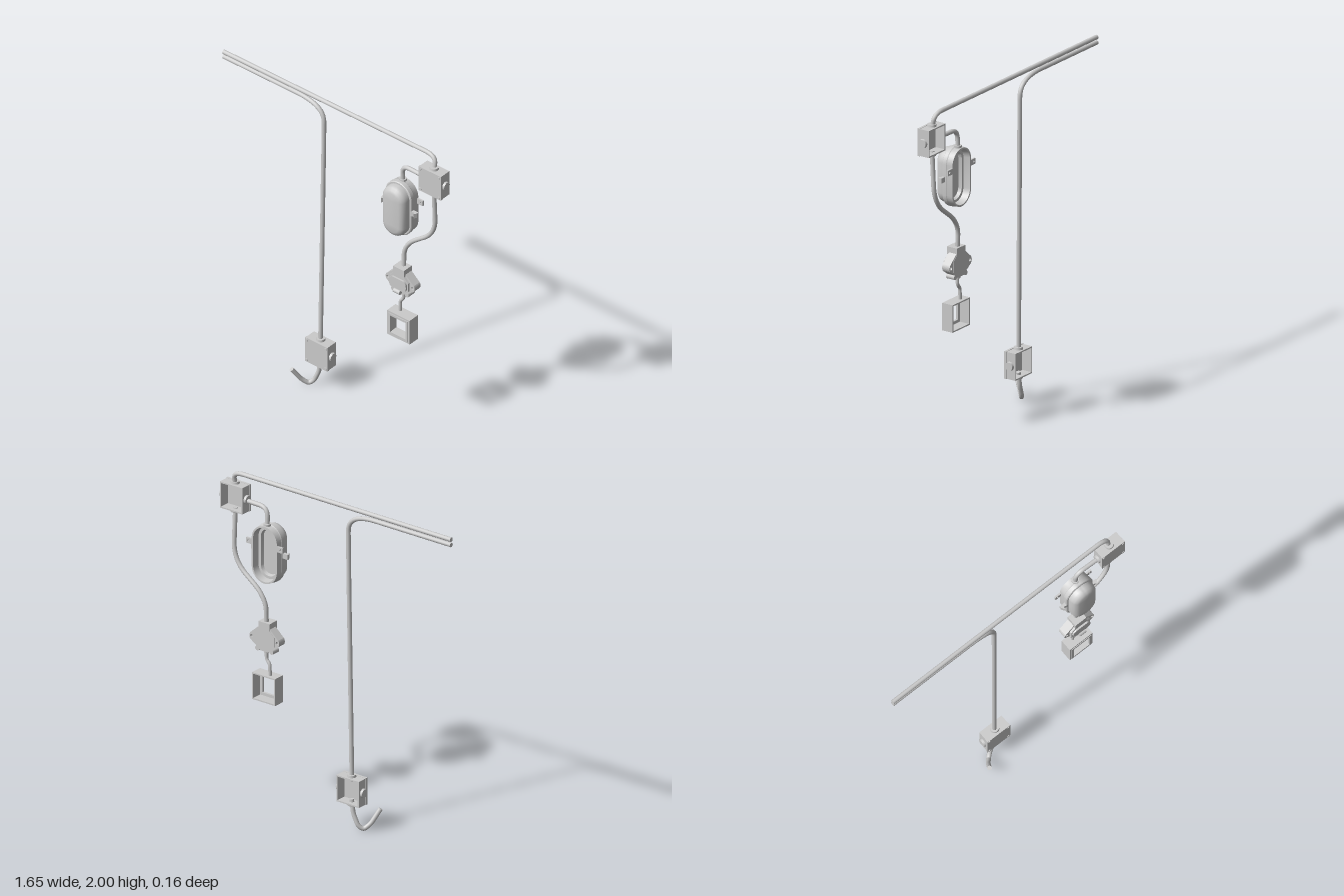
import * as THREE from 'three';
import { toCreasedNormals } from 'three/addons/utils/BufferGeometryUtils.js';

const V = (p) => new THREE.Vector3(...p);
const grey = new THREE.MeshStandardMaterial({ color: 0xcccccc, side: THREE.DoubleSide });

function add(parent, name, geometry, x = 0, y = 0, z = 0) {
  const mesh = new THREE.Mesh(geometry, grey);
  mesh.name = name;
  mesh.position.set(x, y, z);
  parent.add(mesh);
  return mesh;
}

function group(parent, name, x, y) {
  const g = new THREE.Group();
  g.name = name;
  g.position.set(x, y, 0);
  parent.add(g);
  return g;
}

// Round pipe along straight runs, with corners eased by the bend length
function pipe(parent, name, points, bend, radius = 0.0135) {
  const p = points.map(V);
  const path = new THREE.CurvePath();
  let from = p[0];
  for (let i = 1; i < p.length - 1; i++) {
    const toward = (q) => {
      const d = q.clone().sub(p[i]);
      return p[i].clone().addScaledVector(d.normalize(), Math.min(bend, p[i].distanceTo(q) * 0.48));
    };
    const a = toward(p[i - 1]), b = toward(p[i + 1]);
    path.add(new THREE.LineCurve3(from, a));
    path.add(new THREE.QuadraticBezierCurve3(a, p[i], b));
    from = b;
  }
  const last = p[p.length - 1];
  path.add(new THREE.LineCurve3(from, last));
  add(parent, name, new THREE.TubeGeometry(path, 90, radius, 12));
  [[p[0], p[1]], [last, p[p.length - 2]]].forEach(([end, inner]) => {
    const cap = add(parent, name + 'End', new THREE.CircleGeometry(radius, 12), end.x, end.y, end.z);
    cap.lookAt(end.clone().multiplyScalar(2).sub(inner));
  });
}

function rect(w, h, Type = THREE.Shape) {
  const x = w / 2, y = h / 2;
  return new Type([[-x, -y], [x, -y], [x, y], [-x, y]].map((q) => new THREE.Vector2(...q)));
}

function circle(x, y, r) {
  return new THREE.Path().absarc(x, y, r, 0, Math.PI * 2);
}

// Plate or ring between two depths
function extrude(shape, z0, z1, holes = []) {
  shape.holes.push(...holes);
  const g = new THREE.ExtrudeGeometry(shape, { depth: z1 - z0, bevelEnabled: false, curveSegments: 10 });
  return g.translate(0, 0, z0);
}

// Disc with its axis along z
function disc(r0, r1, depth, sides = 16) {
  return new THREE.CylinderGeometry(r1, r0, depth, sides).rotateX(Math.PI / 2);
}

// Junction box: open back, lid with screws, a collar on each of four sides
function junctionBox(parent, name, x, y) {
  const box = group(parent, name, x, y);
  const s = 0.165;
  add(box, 'walls', extrude(rect(s - 0.004, s - 0.004), -0.077, -0.012, [rect(s - 0.02, s - 0.02, THREE.Path)]));
  add(box, 'lid', extrude(rect(s, s), -0.014, 0));
  for (const sx of [-1, 1]) for (const sy of [-1, 1]) {
    add(box, 'screw', disc(0.009, 0.008, 0.005, 10), sx * 0.069, sy * 0.069, 0.001);
  }
  for (let i = 0; i < 4; i++) {
    const a = (i * Math.PI) / 2;
    const collar = add(box, 'collar', new THREE.CylinderGeometry(0.025, 0.028, 0.02, 20),
      -Math.sin(a) * 0.084, Math.cos(a) * 0.084, -0.04);
    collar.rotation.z = a;
  }
}

// Lathe profile of [radius, z], with its halves pulled apart into a long oval
function oval(profile, half) {
  const seg = 36;
  const g = new THREE.LatheGeometry(profile.map((q) => new THREE.Vector2(...q)), seg, Math.PI / 2 + Math.PI / seg);
  g.rotateX(Math.PI / 2);
  const pos = g.attributes.position;
  for (let i = 0; i < pos.count; i++) {
    // the seam angle places every column clearly above or below the middle
    const column = Math.floor(i / profile.length) % seg;
    const angle = Math.PI / 2 + Math.PI / seg + (column * 2 * Math.PI) / seg;
    pos.setY(i, pos.getY(i) - Math.sign(Math.cos(angle)) * half);
  }
  g.computeVertexNormals();
  return toCreasedNormals(g, 0.6);
}

function lamp(parent) {
  const g = group(parent, 'bulkheadLamp', 0.495, 1.54);
  const half = 0.085;
  add(g, 'housing', oval([[0, -0.015], [0.052, -0.015], [0.058, -0.035], [0.074, -0.035], [0.08, -0.077],
    [0.09, -0.077], [0.092, -0.04], [0.095, -0.036], [0.095, -0.012], [0.09, -0.008], [0.08, -0.008]], half));
  add(g, 'glassDome', oval([[0.083, -0.01], [0.083, 0.015], [0.078, 0.033], [0.066, 0.046], [0.05, 0.052],
    [0, 0.054]], half - 0.002));
  add(g, 'inletCollar', new THREE.CylinderGeometry(0.022, 0.022, 0.03, 16), 0, 0.172, -0.05);
  for (const s of [-1, 1]) {
    // mounting lug near the wall
    add(g, 'mountingLug', extrude(rect(0.046, 0.034), -0.077, -0.066, [circle(s * 0.008, 0, 0.006)]), s * 0.108, 0.06, 0);
    // hooked clip that holds the dome
    const clip = new THREE.Shape([[0.088, -0.03], [0.13, -0.03], [0.13, -0.018], [0.12, 0], [0.112, -0.012],
      [0.088, -0.008]].map(([x, z]) => new THREE.Vector2(s * x, -z)));
    add(g, 'domeClip', extrude(clip, -0.015, 0.015).rotateX(-Math.PI / 2).scale(1, 1, 1), 0, 0.004, 0)
      .geometry.computeVertexNormals();
  }
}

// Socket with screw ears, a raised lid and a latch
function socket(parent) {
  const g = group(parent, 'socket', 0.499, 1.018);
  const ears = new THREE.Shape();
  ears.moveTo(-0.035, -0.066).lineTo(0.035, -0.066).lineTo(0.1, -0.02);
  ears.quadraticCurveTo(0.113, 0, 0.1, 0.02).lineTo(0.04, 0.073).lineTo(-0.04, 0.073).lineTo(-0.1, 0.02);
  ears.quadraticCurveTo(-0.113, 0, -0.1, -0.02);
  add(g, 'earPlate', extrude(ears, -0.072, -0.02, [circle(-0.091, 0, 0.009), circle(0.091, 0, 0.009)]));
  const body = disc(0.078, 0.074, 0.066, 8).rotateZ(Math.PI / 8);
  add(g, 'body', toCreasedNormals(body, 0.3), 0, 0, -0.04);
  const lid = new THREE.Shape();
  lid.moveTo(-0.04, -0.038).lineTo(0.04, -0.038).quadraticCurveTo(0.062, -0.03, 0.062, 0);
  lid.quadraticCurveTo(0.062, 0.03, 0.04, 0.038).lineTo(-0.04, 0.038).quadraticCurveTo(-0.062, 0.03, -0.062, 0);
  lid.quadraticCurveTo(-0.062, -0.03, -0.04, -0.038);
  add(g, 'lid', extrude(lid, -0.01, 0.004));
  const latch = add(g, 'latch', new THREE.CylinderGeometry(0.014, 0.014, 0.046, 12), 0, -0.048, 0.004);
  latch.rotation.z = Math.PI / 2;
  add(g, 'neck', new THREE.BoxGeometry(0.08, 0.045, 0.07), 0, 0.083, -0.04);
  add(g, 'cableOutlet', new THREE.CylinderGeometry(0.016, 0.016, 0.03, 12), 0, -0.07, -0.05);
  for (const s of [-1, 1]) {
    add(g, 'foot', disc(0.015, 0.015, 0.055, 10), s * 0.05, -0.065, -0.045);
  }
}

// Hollow square frame with a stepped lip around its opening
function frame(parent) {
  const g = group(parent, 'squareFrame', 0.5, 0.715);
  const s = 0.165;
  add(g, 'walls', extrude(rect(s, s), -0.077, -0.008, [rect(s - 0.016, s - 0.016, THREE.Path)]));
  add(g, 'frontPlate', extrude(rect(s, s), -0.014, -0.004, [rect(0.114, 0.114, THREE.Path)]));
  add(g, 'lip', extrude(rect(0.142, 0.142), -0.006, 0, [rect(0.114, 0.114, THREE.Path)]));
}

export function createModel() {
  const model = new THREE.Group();
  model.name = 'conduitAssembly';

  junctionBox(model, 'upperJunctionBox', 0.732, 1.828);
  junctionBox(model, 'lowerJunctionBox', -0.1, 0.247);

  // Long runs
  pipe(model, 'topConduit', [[-0.826, 1.986, -0.058], [0.73, 1.986, -0.058], [0.73, 1.89, -0.04]], 0.075);
  pipe(model, 'dropConduit', [[-0.826, 1.954, -0.058], [-0.09, 1.954, -0.058], [-0.09, 1.72, -0.056], [-0.102, 0.3, -0.04]], 0.2);
  // Short branches
  pipe(model, 'lampConduit', [[0.65, 1.822, -0.04], [0.495, 1.822, -0.045], [0.495, 1.69, -0.05]], 0.06);
  pipe(model, 'socketConduit', [[0.73, 1.76, -0.04], [0.73, 1.445, -0.056], [0.5, 1.27, -0.056], [0.5, 1.1, -0.05]], 0.11);
  pipe(model, 'hookedTail', [[-0.1, 0.19, -0.04], [-0.112, 0.105, -0.04], [-0.14, 0.035, -0.034],
    [-0.165, 0.01, -0.014], [-0.193, 0.043, 0.018], [-0.224, 0.125, 0.067]], 0.02);
  pipe(model, 'frameCord', [[0.5, 0.96, -0.05], [0.5, 0.892, -0.05], [0.476, 0.865, -0.05], [0.474, 0.78, -0.05]], 0.015, 0.01);

  lamp(model);
  socket(model);
  frame(model);
  return model;
}
